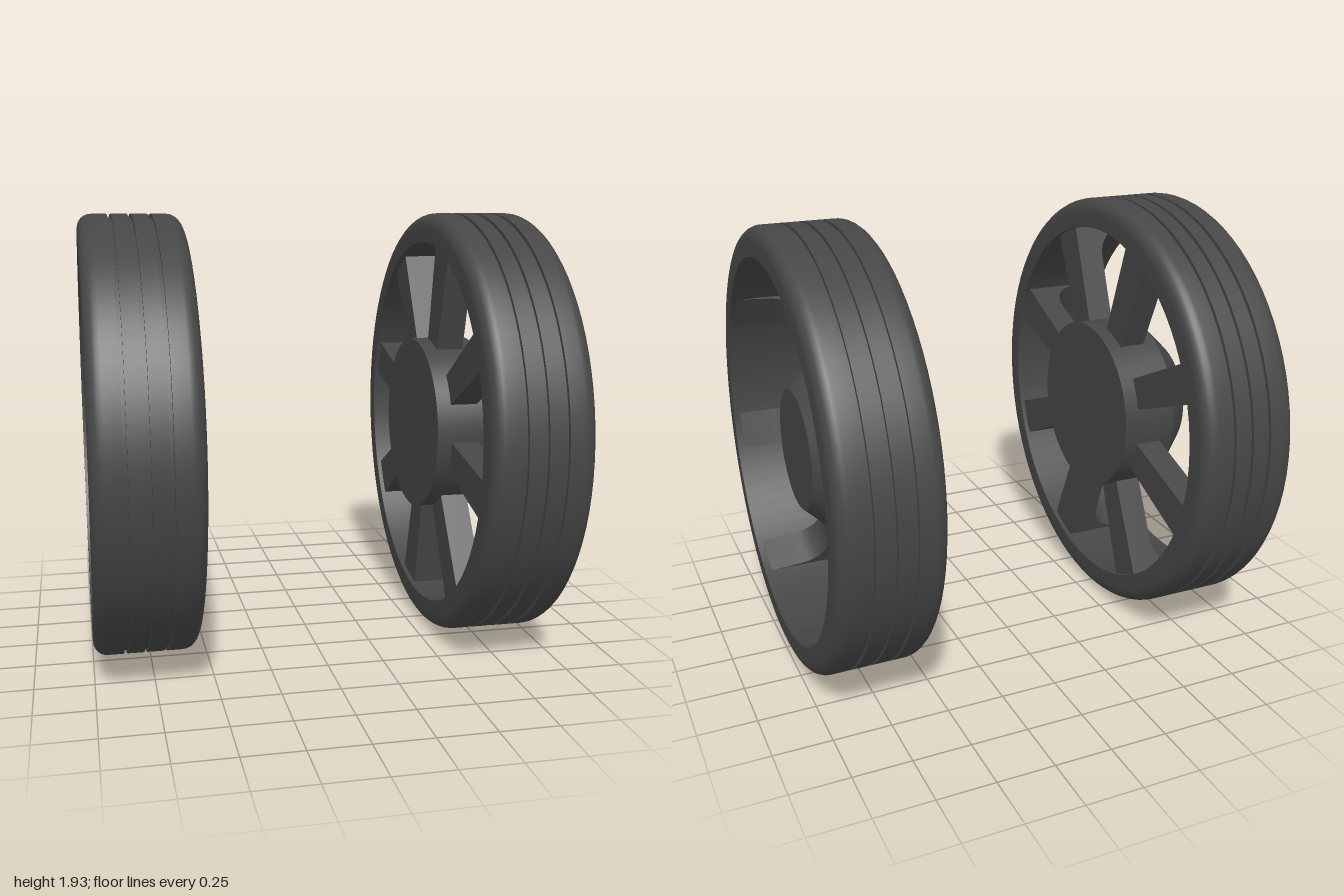
import * as THREE from 'three';
import { toCreasedNormals } from 'three/addons/utils/BufferGeometryUtils.js';

const RADIUS = 0.967, HALF = 0.221, OPENING = 0.838;

// Revolve a (radius, axial) profile around the x axle
function revolve(points, segments) {
  const geo = new THREE.LatheGeometry(points.map(([r, a]) => new THREE.Vector2(r, a)), segments);
  geo.rotateZ(-Math.PI / 2);
  return toCreasedNormals(geo, 0.6);
}

// Tyre ring: rounded shoulders, three tread grooves and a plain inner barrel
function tyreGeometry() {
  const p = [], round = 0.06, steps = 6;
  p.push([OPENING, -HALF]);
  for (let i = 0; i <= steps; i++) {
    const t = (i / steps) * Math.PI / 2;
    p.push([RADIUS - round + round * Math.sin(t), -HALF + round - round * Math.cos(t)]);
  }
  for (const a of [-0.086, 0, 0.086]) {
    const w = 0.008, d = RADIUS - 0.016;
    p.push([RADIUS, a - w], [d, a - w], [d, a + w], [RADIUS, a + w]);
  }
  for (let i = 0; i <= steps; i++) {
    const t = (i / steps) * Math.PI / 2;
    p.push([RADIUS - round + round * Math.cos(t), HALF - round + round * Math.sin(t)]);
  }
  p.push([OPENING, HALF], [OPENING, -HALF]);
  return revolve(p, 80);
}

// Hub: flat on the inner side, bevelled to a smaller cap on the outer side
function hubGeometry() {
  return revolve([[0, -0.265], [0.394, -0.265], [0.394, -0.015], [0.265, 0.12], [0, 0.12]], 64);
}

// Spoke: flat inner face, outer face sweeping along the barrel, wider at the rim
function spokeGeometry() {
  const s = new THREE.Shape();
  s.moveTo(-0.2, 0.3);
  s.lineTo(-0.08, 0.3);
  s.lineTo(-0.08, 0.68);
  s.bezierCurveTo(-0.08, 0.76, -0.03, 0.815, 0.05, 0.822);
  s.lineTo(0.19, 0.834);
  s.lineTo(0.19, 0.86);
  s.lineTo(-0.2, 0.86);
  s.closePath();
  const geo = new THREE.ExtrudeGeometry(s, { depth: 1, bevelEnabled: false, curveSegments: 10 });
  geo.translate(0, 0, -0.5);
  const pos = geo.attributes.position;
  for (let i = 0; i < pos.count; i++) {
    const width = 0.14 + (pos.getY(i) - 0.39) * 0.08;
    pos.setZ(i, pos.getZ(i) * width);
  }
  return toCreasedNormals(geo, 0.5);
}

export function createModel() {
  const model = new THREE.Group();
  model.name = 'wheelPair';
  const darkGrey = new THREE.MeshStandardMaterial({ color: 0x464646 });
  darkGrey.name = 'darkGrey';
  const tyre = tyreGeometry(), hub = hubGeometry(), spoke = spokeGeometry();

  function add(parent, geo, name) {
    const mesh = new THREE.Mesh(geo, darkGrey);
    mesh.name = name;
    parent.add(mesh);
    return mesh;
  }

  // Each wheel's outer side points along its local +x
  function makeWheel(name, x, turn, spokeStart) {
    const wheel = new THREE.Group();
    wheel.name = name;
    add(wheel, tyre, 'tyre');
    add(wheel, hub, 'hub');
    for (let i = 0; i < 8; i++) {
      add(wheel, spoke, 'spoke').rotation.x = THREE.MathUtils.degToRad(spokeStart + i * 45);
    }
    wheel.position.set(x, RADIUS, 0);
    wheel.rotation.y = turn;
    model.add(wheel);
  }

  makeWheel('leftWheel', 0.779, 0, -31.5);
  makeWheel('rightWheel', -0.779, Math.PI, 21);
  return model;
}
